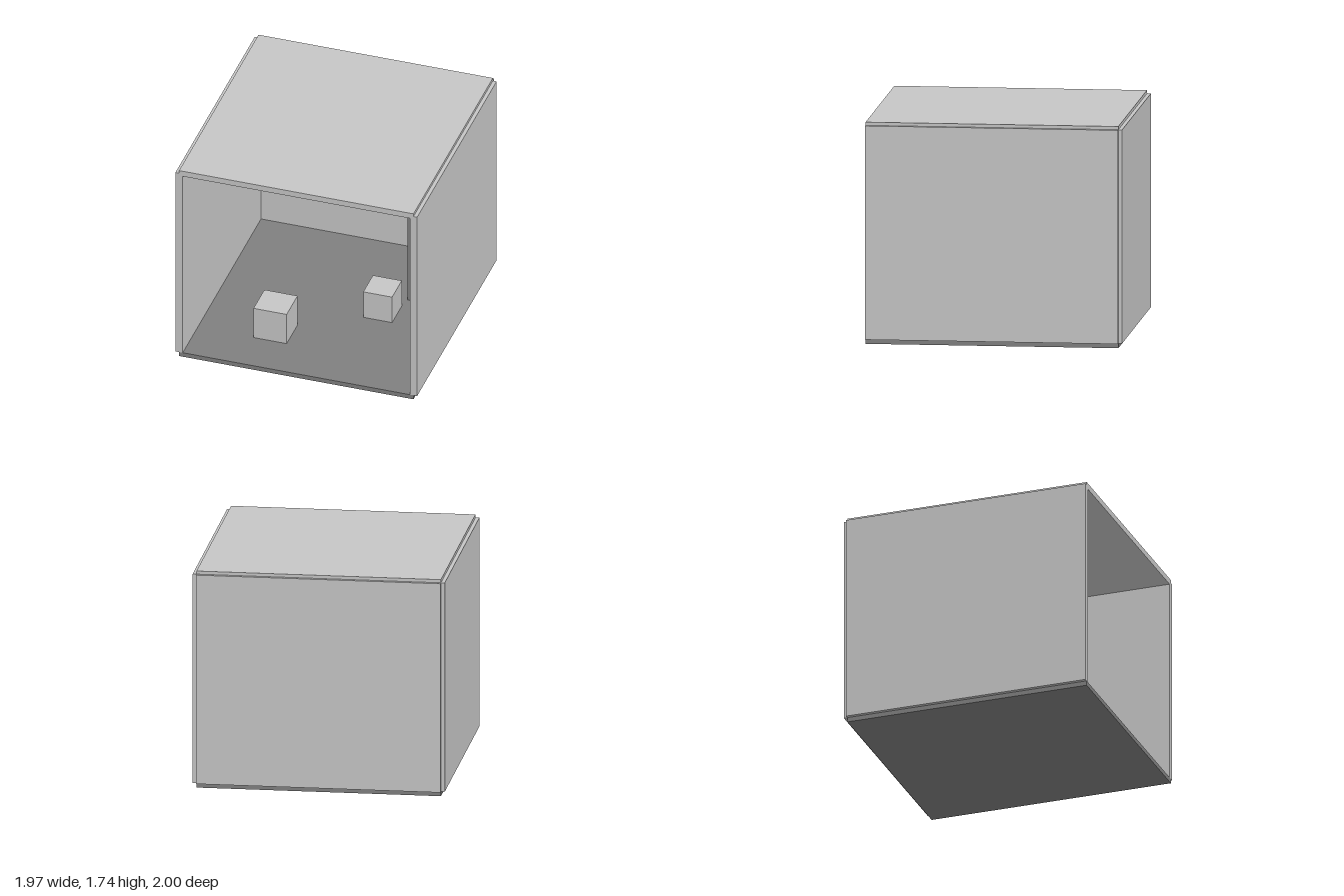
import * as THREE from 'three';

const pale = new THREE.MeshStandardMaterial({ name: 'pale grey', color: 0xc5c5c5 });
const dark = new THREE.MeshStandardMaterial({ name: 'dark grey', color: 0x7f7f7f });

// Box given by its two opposite corners
function block(name, material, [x0, y0, z0], [x1, y1, z1]) {
  const mesh = new THREE.Mesh(new THREE.BoxGeometry(x1 - x0, y1 - y0, z1 - z0), material);
  mesh.position.set((x0 + x1) / 2, (y0 + y1) / 2, (z0 + z1) / 2);
  mesh.name = name;
  return mesh;
}

export function createModel() {
  const room = new THREE.Group();
  room.name = 'openRoom';
  const floorTop = 0.037;
  const ceiling = 1.687;
  const wallTop = 1.71;

  // Shell, open at the front
  room.add(
    block('floor', dark, [-0.955, 0, -0.97], [0.955, floorTop, 1]),
    block('roof', pale, [-0.955, ceiling, -0.97], [0.955, 1.735, 1]),
    block('backWall', pale, [-0.955, floorTop, -1], [0.955, wallTop, -0.94]),
    block('leftWall', pale, [0.925, floorTop, -0.97], [0.985, wallTop, 1]),
    block('rightWall', pale, [-0.985, floorTop, -0.97], [-0.925, wallTop, 1]),
  );

  // Furnishings
  room.add(
    block('column', dark, [0.5, floorTop, -0.365], [0.63, ceiling, -0.235]),
    block('shelf', pale, [-0.78, 0.7, -0.94], [-0.12, 0.75, -0.79]),
    block('largeCrate', pale, [-0.47, floorTop, 0.36], [-0.2, 0.31, 0.63]),
    block('smallCrate', pale, [0.25, floorTop, -0.14], [0.485, 0.275, 0.1]),
  );
  return room;
}
